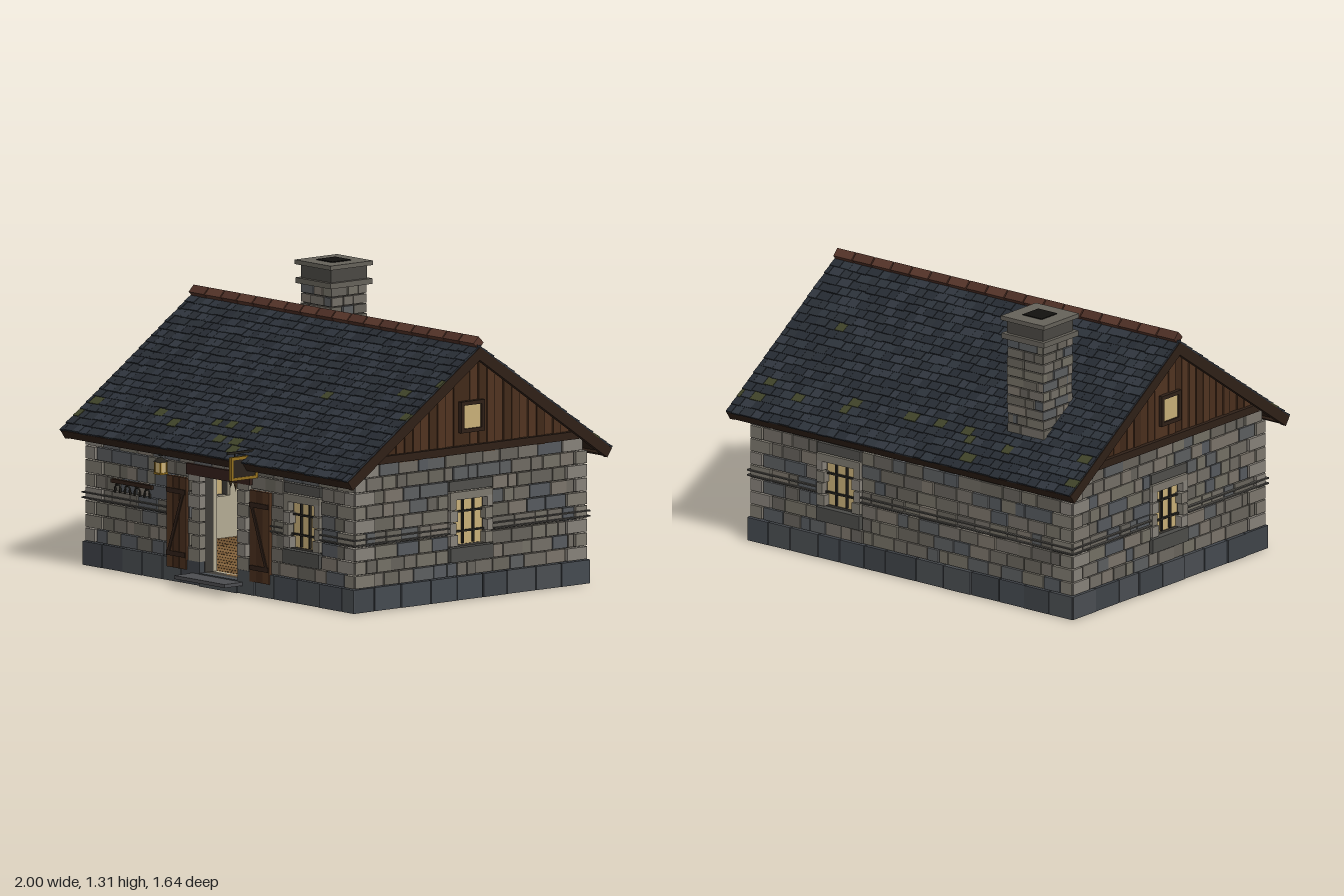
import * as THREE from 'three';
import { mergeGeometries } from 'three/addons/utils/BufferGeometryUtils.js';

const STONES = [0x746f67, 0x66625b, 0x7b746a, 0x5c5e60, 0x69655c, 0x565a5e, 0x747065, 0x6f6a62];
const LIGHT = [0x87827a, 0x7d786e];
const PLINTH = [0x454a50, 0x404449, 0x4a4e52];
const SLATES = [0x282d34, 0x2c323a, 0x252a31, 0x2f353d, 0x262b32];
const WOOD = [0x4a2f1d, 0x412919, 0x503320];
const IRON = 0x26241f, BEAM = 0x2f2017, GOLD = 0x94701f, PANE = 0xc9b078;
const MORTAR = 0x3f3c37, PLASTER = 0xb4ab94, CZ = -0.04;

export function createModel() {
  let seed = 7;
  const rnd = () => ((seed = (seed * 16807) % 2147483647) / 2147483647);
  const pick = (list) => list[Math.floor(rnd() * list.length)];

  // geometries are gathered by part name and colour, in a movable local frame
  const parts = new Map();
  let frame = new THREE.Matrix4();
  const setFrame = (x = 0, y = 0, z = 0, rx = 0, ry = 0) => {
    frame = new THREE.Matrix4().makeRotationFromEuler(new THREE.Euler(rx, ry, 0)).setPosition(x, y, z);
  };
  const add = (name, color, geo, x = 0, y = 0, z = 0, rx = 0, ry = 0, rz = 0) => {
    const g = geo.index ? geo.toNonIndexed() : geo;
    g.applyMatrix4(new THREE.Matrix4().makeRotationFromEuler(new THREE.Euler(rx, ry, rz)).setPosition(x, y, z));
    g.applyMatrix4(frame);
    if (!parts.has(name)) parts.set(name, new Map());
    const byColor = parts.get(name);
    if (!byColor.has(color)) byColor.set(color, []);
    byColor.get(color).push(g);
  };
  const box = (name, color, w, h, d, ...at) => add(name, color, new THREE.BoxGeometry(w, h, d), ...at);
  const polygon = (pts) => new THREE.Shape(pts.map(([x, y]) => new THREE.Vector2(x, y)));
  const extrude = (shape, depth) => new THREE.ExtrudeGeometry(shape, { depth, bevelEnabled: false });
  const rect = (x0, x1, y0, y1) => polygon([[x0, y0], [x1, y0], [x1, y1], [x0, y1]]);

  // one course of stones from u0 to u1, split at random
  const course = (name, u0, u1, y0, y1, dist, min, max, colors) => {
    for (let u = u0; u < u1 - 0.002;) {
      let w = min + rnd() * (max - min);
      if (u1 - u - w < min * 0.7) w = u1 - u;
      const out = rnd() * 0.006;
      box(name, pick(colors), w - 0.005, y1 - y0 - 0.005, 0.03, u + w / 2, (y0 + y1) / 2, dist - 0.018 + out);
      u += w;
    }
  };
  // the clear spans of [-half, half] at height y
  const spans = (half, holes, y) => {
    const result = [];
    let start = -half;
    for (const [a, b, lo, hi] of holes) {
      if (y < lo || y > hi) continue;
      result.push([start, a]);
      start = b;
    }
    return [...result, [start, half]];
  };

  const STEP = 0.0622;
  const windowAt = (u, dist) => {
    box('windowPane', PANE, 0.18, 0.22, 0.01, u, 0.355, dist - 0.03);
    for (const s of [-1, 1]) {
      box('windowBars', IRON, 0.008, 0.21, 0.012, u + s * 0.03, 0.36, dist - 0.018);
      box('windowBars', IRON, 0.18, 0.008, 0.012, u, 0.355 + s * 0.045, dist - 0.018);
      for (let i = 0; i < 4; i++) {
        const w = i % 2 ? 0.034 : 0.045;
        box('windowJambs', pick(LIGHT), w, 0.05, 0.04, u + s * (0.125 - w / 2), 0.273 + i * 0.055, dist - 0.01);
      }
    }
    box('windowLintel', LIGHT[1], 0.25, 0.036, 0.04, u, 0.475, dist - 0.01);
    box('windowLintel', 0x504f4b, 0.25, 0.045, 0.035, u, 0.52, dist - 0.013);
    box('windowSill', 0x4c4c49, 0.25, 0.065, 0.045, u, 0.208, dist - 0.01);
  };

  // walls, each in a frame whose +z points outwards
  const walls = [
    { ry: 0, dist: 0.68, half: 0.93, rows: 8, win: 0.57, door: true },
    { ry: Math.PI, dist: 0.68, half: 0.93, rows: 8, win: -0.42 },
    { ry: Math.PI / 2, dist: 0.93, half: 0.68, rows: 9, win: 0 },
    { ry: -Math.PI / 2, dist: 0.93, half: 0.68, rows: 9, win: 0 },
  ];
  for (const { ry, dist, half, rows, win, door } of walls) {
    setFrame(0, 0, CZ, 0, ry);
    const holes = [[win - 0.13, win + 0.13, 0.172, 0.545]];
    if (door) holes.unshift([-0.21, 0.21, 0, 0.545]);
    for (const [name, color, depth, back, y0] of [['wallCore', MORTAR, 0.05, 0.07, 0.012], ['innerWall', PLASTER, 0.02, 0.09, 0.055]]) {
      const shape = rows === 9
        ? polygon([[-0.66, y0], [0.66, y0], [0.66, 0.6], [0.6, 0.66], [-0.6, 0.66], [-0.66, 0.6]])
        : rect(-half + 0.02, half - 0.02, y0, 0.59);
      shape.holes.push(rect(win - 0.09, win + 0.09, 0.25, 0.46));
      if (door) shape.holes.push(rect(-0.13, 0.13, 0.06, 0.5));
      add(name, color, extrude(shape, depth), 0, 0, dist - back);
    }
    for (let r = 0; r < rows; r++) {
      const y0 = 0.11 + r * STEP, y1 = y0 + STEP, edge = r === 8 ? 0.655 : half;
      const q = (r + (rows === 9 ? 1 : 0)) % 2 ? 0.12 : 0.07;
      for (const s of [-1, 1]) box('cornerStones', pick(LIGHT), q - 0.006, STEP - 0.006, 0.034, s * (edge - q / 2 + 0.003), (y0 + y1) / 2, dist - 0.012);
      for (const [a, b] of spans(edge - q, holes, y0 + 0.03)) course('wallStones', a, b, y0, y1, dist, 0.05, 0.135, STONES);
    }
    for (const [a, b] of spans(half + 0.012, door ? [[-0.13, 0.13, 0, 1]] : [], 0.05))
      course('plinth', a, b, 0, 0.112, dist + 0.012, 0.12, 0.18, PLINTH);
    course('footing', -half + 0.05, half - 0.05, 0, 0.06, dist - 0.06, 0.06, 0.13, LIGHT);
    // thin double string course
    const breaks = door ? [[-0.36, 0.36, 0, 1], holes[1]] : holes;
    for (const y of [0.308, 0.332])
      for (const [a, b] of spans(half + 0.015, breaks, y)) box('stringCourse', 0x4b4945, b - a, 0.006, 0.02, (a + b) / 2, y, dist + 0.003);
    windowAt(win, dist);
  }

  // gables: boards, beam and small window
  for (const ry of [Math.PI / 2, -Math.PI / 2]) {
    setFrame(0, 0, CZ, 0, ry);
    const top = (u) => 1.122 - 0.69 * Math.abs(u), n = 26, w = 1.26 / n;
    for (let i = 0; i < n; i++) {
      const a = -0.63 + i * w + 0.002, b = a + w - 0.004;
      add('gableBoards', pick(WOOD), extrude(polygon([[a, 0.66], [b, 0.66], [b, top(b)], [a, top(a)]]), 0.02), 0, 0, 0.905 + rnd() * 0.008);
    }
    add('gableBacking', 0x24170f, extrude(polygon([[-0.64, 0.655], [0.64, 0.655], [0, 1.112]]), 0.02), 0, 0, 0.888);
    box('gableBeam', BEAM, 1.24, 0.035, 0.05, 0, 0.683, 0.925);
    box('gableWindow', PANE, 0.11, 0.12, 0.02, 0, 0.83, 0.93);
    for (const s of [-1, 1]) {
      box('gableWindowFrame', BEAM, 0.018, 0.14, 0.035, s * 0.06, 0.83, 0.932);
      box('gableWindowFrame', BEAM, 0.138, 0.018, 0.035, 0, 0.83 + s * 0.062, 0.932);
    }
  }

  // roof: deck, overlapping slates, fascia and bargeboards for each slope
  const angle = 0.604, rowsOfSlate = 20, pitch = 0.0468, cols = 36;
  for (const s of [-1, 1]) {
    setFrame(0, 1.146, CZ, s * angle);
    box('roofDeck', BEAM, 1.97, 0.025, 0.93, 0, -0.018, s * 0.465);
    box('fascia', BEAM, 1.99, 0.042, 0.02, 0, -0.021, s * 0.93);
    for (const e of [-1, 1]) box('bargeboards', BEAM, 0.025, 0.048, 0.94, e * 0.985, -0.022, s * 0.47);
    for (let r = 0; r < rowsOfSlate; r++) {
      const shift = (r % 2) * 0.5, w = 1.99 / cols;
      // joints wander a little from an even spacing
      const joints = Array.from({ length: cols + 1 + (r % 2) }, (_, c) =>
        THREE.MathUtils.clamp(-0.995 + (c - shift) * w + (c ? (rnd() - 0.5) * 0.02 : 0), -0.995, 0.995));
      joints[joints.length - 1] = 0.995;
      for (let c = 0; c + 1 < joints.length; c++) {
        const a = joints[c], b = joints[c + 1];
        const moss = rnd() < (r > 14 && r < 19 ? 0.07 : 0.003);
        box('slates', moss ? 0x3f4329 : pick(SLATES), b - a - 0.002, 0.008, 0.066,
          (a + b) / 2, 0.004 + rnd() * 0.003, s * ((r + 1) * pitch - 0.03 + rnd() * 0.006), s * -0.08);
      }
    }
  }
  setFrame();
  for (let i = 0; i < 18; i++)
    box('ridgeTiles', i % 2 ? 0x56352a : 0x4d2f25, 0.104, 0.042, 0.042, -0.935 + i * 0.11, 1.167, CZ, Math.PI / 4);

  // chimney
  for (let f = 0; f < 4; f++) {
    setFrame(-0.57, 0, -0.51, 0, f * Math.PI / 2);
    for (let r = 0; r < 11; r++) course('chimneyStones', -0.105, 0.105, 0.72 + r * 0.0442, 0.764 + r * 0.0442, 0.105, 0.045, 0.11, STONES);
  }
  setFrame(-0.57, 0, -0.51);
  box('chimneyCore', MORTAR, 0.19, 0.55, 0.19, 0, 0.94, 0);
  box('chimneyCap', 0x66625a, 0.245, 0.025, 0.245, 0, 1.217, 0);
  box('chimneyCollar', 0x4a4843, 0.21, 0.07, 0.21, 0, 1.258, 0);
  box('chimneyCap', 0x66625a, 0.25, 0.02, 0.25, 0, 1.3, 0);
  box('flue', 0x12110f, 0.11, 0.02, 0.11, 0, 1.304, 0);

  // floorboards
  setFrame(0, 0, CZ);
  box('subfloor', 0x4a3420, 1.76, 0.01, 1.26, 0, 0.05, 0);
  for (let i = 0; i < 24; i++)
    for (let j = 0; j < 5; j++) {
      const a = Math.max(-0.88, -0.88 + (j - (i % 2) * 0.5) * 0.4), b = Math.min(0.88, -0.88 + (j + 1 - (i % 2) * 0.5) * 0.4);
      box('floorboards', pick([0x7c5c36, 0x715331, 0x85643d]), b - a - 0.004, 0.02, 0.0485, (a + b) / 2, 0.05, -0.604 + i * 0.0525);
    }

  // doorway: jambs, lintel, step and two open leaves
  setFrame(0, 0, 0.64);
  for (const s of [-1, 1]) {
    for (let i = 0; i < 7; i++) {
      const w = i % 2 ? 0.055 : 0.08;
      box('doorJambs', pick(LIGHT), w, 0.056, 0.075, s * (0.13 + w / 2), 0.138 + i * 0.0605, -0.025);
    }
    for (let i = 0; i < 3; i++) box('doorLeaves', WOOD[i], 0.044, 0.415, 0.016, s * (0.243 + i * 0.0455), 0.273, 0.008);
    for (const y of [0.13, 0.415]) box('doorBraces', BEAM, 0.13, 0.022, 0.008, s * 0.288, y, 0.017);
    box('doorBraces', BEAM, 0.016, 0.29, 0.008, s * 0.288, 0.273, 0.017, 0, 0, s * 0.35);
  }
  box('doorLintel', 0x33201a, 0.44, 0.05, 0.06, 0, 0.525, -0.015);
  box('threshold', PLINTH[2], 0.26, 0.06, 0.09, 0, 0.03, -0.03);
  box('doorStep', 0x4c4d50, 0.35, 0.016, 0.12, -0.005, 0.047, 0.06);
  for (const [x, h] of [[0.06, 0.03], [0.095, 0.045], [0.12, 0.03]])
    add('hangingHerbs', 0x453522, new THREE.ConeGeometry(0.012, h, 5), x, 0.5 - h / 2, -0.01, Math.PI);

  // rack with horseshoes
  box('rack', BEAM, 0.28, 0.018, 0.018, -0.6, 0.408, 0.008);
  for (let i = 0; i < 4; i++) {
    const x = -0.7 + i * 0.068;
    add('horseshoes', IRON, new THREE.TorusGeometry(0.017, 0.0045, 4, 10, Math.PI), x, 0.378, 0.01);
    for (const s of [-1, 1]) box('horseshoes', IRON, 0.008, 0.022, 0.008, x + s * 0.018, 0.368, 0.01, 0, 0, s * 0.15);
  }

  // lantern on a bracket
  box('lanternBracket', IRON, 0.008, 0.008, 0.08, -0.33, 0.578, 0.04);
  add('lanternRoof', IRON, new THREE.ConeGeometry(0.036, 0.025, 4), -0.33, 0.56, 0.07, 0, Math.PI / 4);
  box('lanternGlass', PANE, 0.036, 0.048, 0.036, -0.33, 0.523, 0.07);
  for (const x of [-0.018, 0.018])
    for (const z of [-0.018, 0.018]) box('lanternPosts', GOLD, 0.006, 0.05, 0.006, -0.33 + x, 0.523, 0.07 + z);
  box('lanternBase', GOLD, 0.046, 0.008, 0.046, -0.33, 0.495, 0.07);

  // hanging sign
  box('signArm', IRON, 0.01, 0.01, 0.19, 0.26, 0.665, 0.085);
  box('signBoard', 0x2b241d, 0.01, 0.1, 0.145, 0.26, 0.592, 0.085);
  for (const s of [-1, 1]) {
    box('signFrame', GOLD, 0.016, 0.013, 0.155, 0.26, 0.592 + s * 0.047, 0.085);
    box('signFrame', GOLD, 0.016, 0.107, 0.013, 0.26, 0.592, 0.085 + s * 0.071);
    box('signHangers', IRON, 0.005, 0.025, 0.005, 0.26, 0.652, 0.085 + s * 0.05);
  }

  // anvil and stool inside
  setFrame(-0.22, 0, 0.1);
  add('anvilBlock', WOOD[0], new THREE.CylinderGeometry(0.06, 0.065, 0.09, 10), 0, 0.1, 0);
  box('anvil', IRON, 0.06, 0.035, 0.05, 0, 0.16, 0);
  box('anvil', IRON, 0.12, 0.035, 0.06, 0, 0.195, 0);
  add('anvil', IRON, new THREE.ConeGeometry(0.02, 0.08, 8), 0.1, 0.197, 0, 0, 0, -Math.PI / 2);
  setFrame(0.175, 0, 0.1);
  box('stoolSeat', WOOD[1], 0.13, 0.02, 0.13, 0, 0.2, 0);
  for (const x of [-0.05, 0.05]) for (const z of [-0.05, 0.05]) box('stoolLegs', WOOD[1], 0.016, 0.13, 0.016, x, 0.125, z);

  const model = new THREE.Group();
  model.name = 'cottage';
  for (const [name, byColor] of parts) {
    const group = new THREE.Group();
    group.name = name;
    for (const [color, geos] of byColor) {
      const mesh = new THREE.Mesh(mergeGeometries(geos), new THREE.MeshStandardMaterial({ color }));
      mesh.name = name;
      group.add(mesh);
    }
    model.add(group);
  }
  return model;
}
